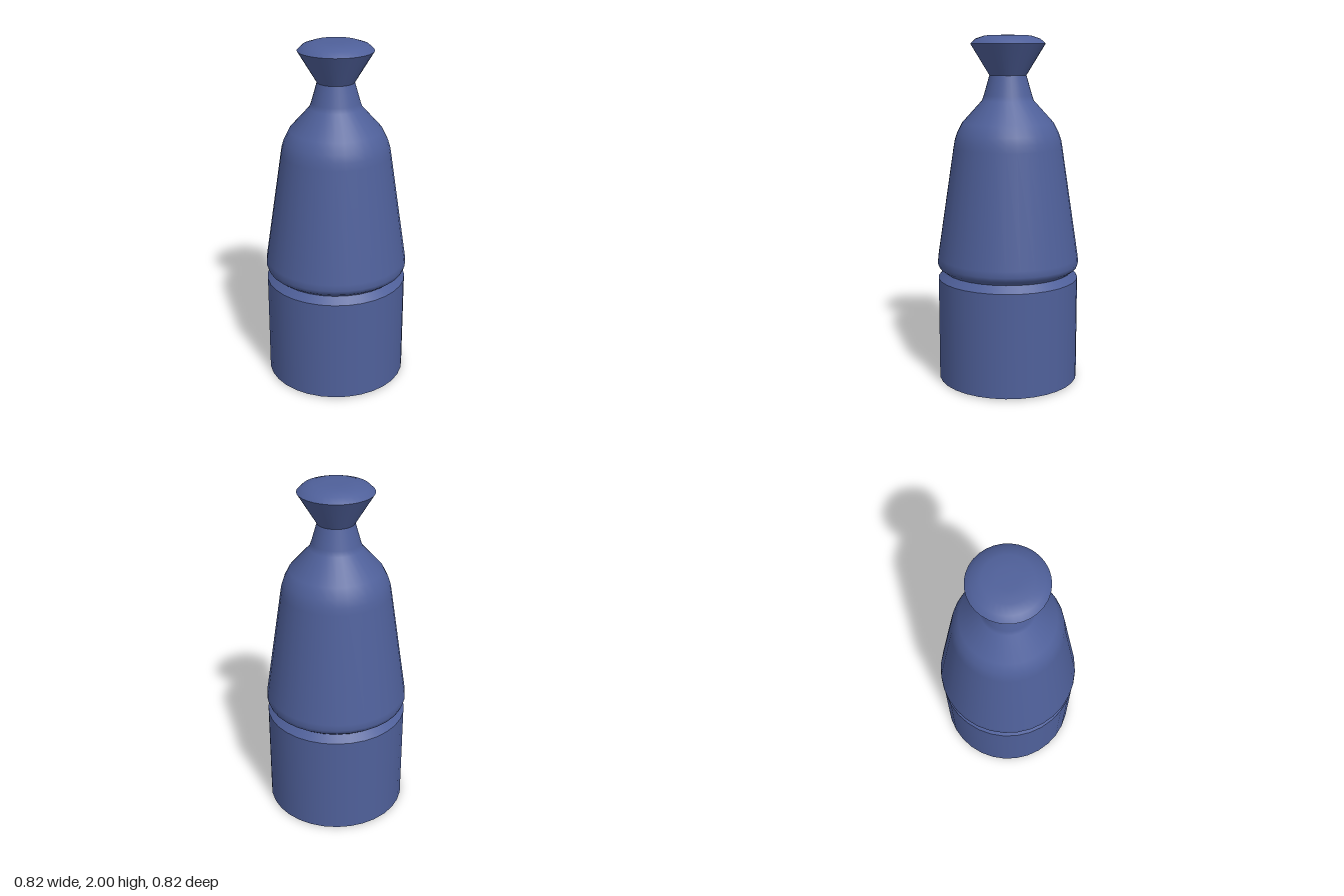
import * as THREE from 'three';

const SIDES = 32;

export function createModel() {
  const model = new THREE.Group();
  model.name = 'mill';
  const blue = new THREE.MeshStandardMaterial({ color: 0x4f609a });
  blue.name = 'slate blue';

  // One smooth turned section; sharp edges fall between sections
  const turn = (name, profile) => {
    const points = profile.map(([r, y]) => new THREE.Vector2(r, y));
    const mesh = new THREE.Mesh(new THREE.LatheGeometry(points, SIDES), blue);
    mesh.name = name;
    model.add(mesh);
  };

  // Underside: hanging spindle, bowl, stepped recess and rim
  turn('spindleTip', [[0, 0.015], [0.024, 0.015]]);
  turn('spindle', [[0.024, 0.015], [0.065, 0.09]]);
  turn('bowl', [[0.065, 0.09], [0.1, 0.125], [0.15, 0.115], [0.185, 0.07]]);
  turn('bowlRim', [[0.185, 0.07], [0.2, 0.07]]);
  turn('recessGroove', [[0.2, 0.07], [0.225, 0.1], [0.265, 0.1]]);
  turn('recessStepWall', [[0.265, 0.1], [0.27, 0.085]]);
  turn('recessLedge', [[0.27, 0.085], [0.3, 0.085]]);
  turn('recessWall', [[0.3, 0.085], [0.3, 0]]);
  turn('baseRim', [[0.3, 0], [0.36, 0], [0.407, 0.007]]);

  // Base cylinder with chamfered top
  turn('base', [[0.407, 0.007], [0.407, 0.61]]);
  turn('baseChamfer', [[0.407, 0.61], [0.37, 0.65]]);

  // Tapered body, shoulder and neck
  turn('body', [
    [0.37, 0.65], [0.402, 0.675], [0.411, 0.7], [0.408, 0.735],
    [0.312, 1.37], [0.305, 1.41], [0.292, 1.45], [0.262, 1.51],
    [0.148, 1.635], [0.137, 1.665], [0.105, 1.777],
  ]);

  // Flared knob with domed top
  turn('knobFlare', [[0.105, 1.777], [0.212, 1.952]]);
  turn('knobTop', [[0.212, 1.952], [0.182, 1.98], [0.13, 1.997], [0.06, 2], [0, 2]]);

  return model;
}
